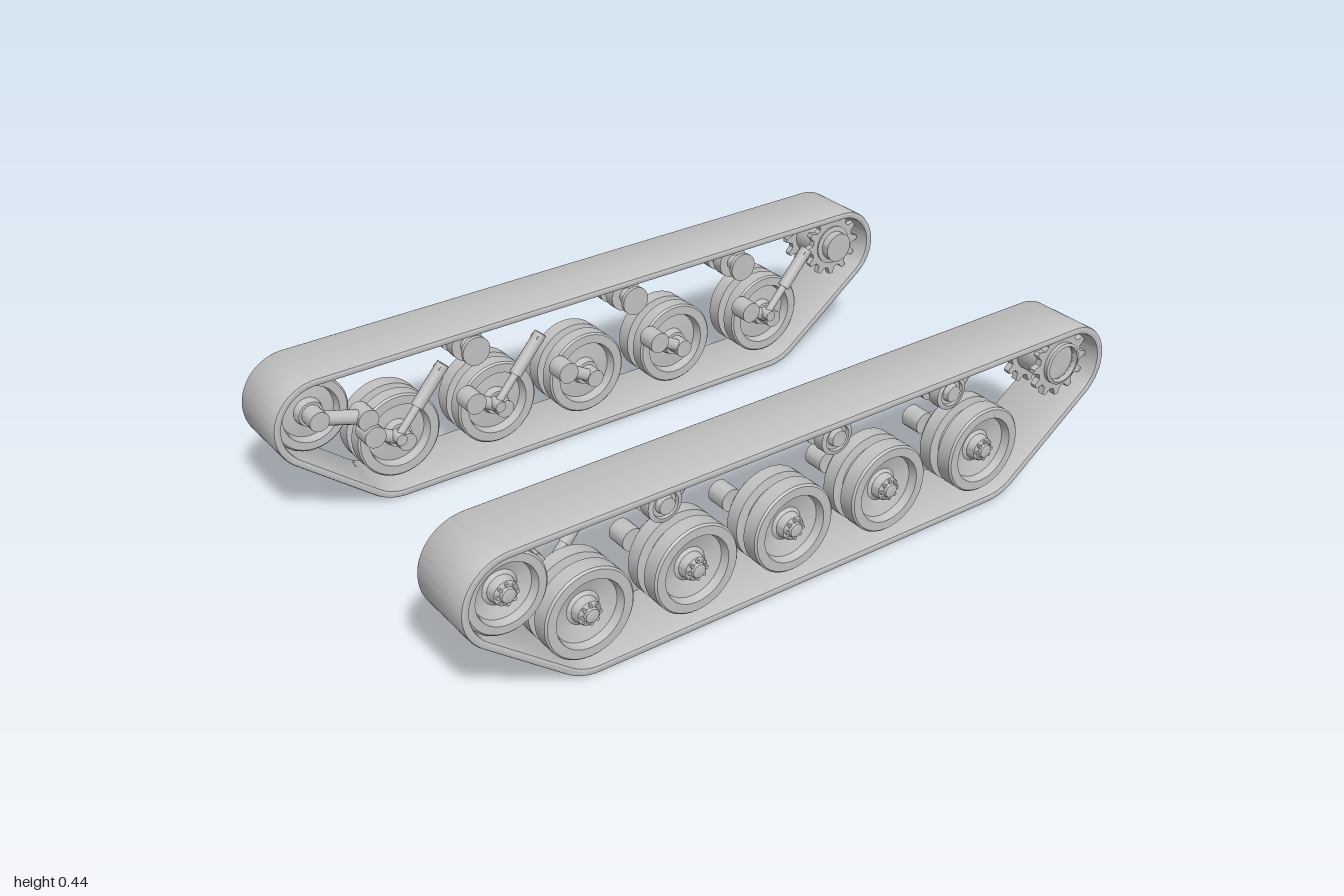
import * as THREE from 'three';
import { toCreasedNormals } from 'three/addons/utils/BufferGeometryUtils.js';

const steel = new THREE.MeshStandardMaterial({ color: 0xc2c2c2 });
steel.name = 'steel grey';

const V = (x, y, z) => new THREE.Vector3(x, y, z);

function add(parent, name, geometry, x = 0, y = 0, z = 0) {
  const mesh = new THREE.Mesh(geometry, steel);
  mesh.name = name;
  mesh.position.set(x, y, z);
  parent.add(mesh);
  return mesh;
}

// Solid of revolution about x; profile is [radius, distance outward]
function turned(profile, side, segments = 36) {
  const g = new THREE.LatheGeometry(profile.map(p => new THREE.Vector2(...p)), segments);
  g.rotateZ(-side * Math.PI / 2);
  return toCreasedNormals(g, 0.6);
}

// Straight cylinder along x between two distances from the middle
function pin(r, from, to, side, segments = 20) {
  return turned([[0, from], [r, from], [r, to], [0, to]], side, segments);
}

// Cylinder between two points
function rod(parent, name, a, b, r) {
  const d = b.clone().sub(a);
  const mesh = add(parent, name, new THREE.CylinderGeometry(r, r, d.length(), 16));
  mesh.position.copy(a).addScaledVector(d, 0.5);
  mesh.quaternion.setFromUnitVectors(V(0, 1, 0), d.normalize());
  return mesh;
}

// Extrude a (z, y) shape across x, centred on x = 0
function acrossX(shape, width, bevel) {
  const g = new THREE.ExtrudeGeometry(shape, {
    depth: width - 2 * bevel, curveSegments: 20, bevelEnabled: bevel > 0,
    bevelThickness: bevel, bevelSize: bevel, bevelOffset: -bevel, bevelSegments: 2,
  });
  g.translate(0, 0, bevel - width / 2);
  g.rotateY(-Math.PI / 2);
  return toCreasedNormals(g, 0.6);
}

// Belt wrapped round circles [z, y, radius], listed counter-clockwise
function wrap(circles, inset, Type) {
  const n = circles.length;
  const normals = circles.map((a, i) => {
    const b = circles[(i + 1) % n];
    const dz = b[0] - a[0], dy = b[1] - a[1];
    return Math.atan2(dy, dz) - Math.acos((a[2] - b[2]) / Math.hypot(dz, dy));
  });
  const path = new Type();
  circles.forEach((c, i) =>
    path.absarc(c[0], c[1], c[2] - inset, normals[(i + n - 1) % n], normals[i], false));
  path.closePath();
  return path;
}

const beltCircles = [
  [0.87, 0.302, 0.13], [-0.877, 0.321, 0.122], [-0.605, 0.152, 0.152], [0.645, 0.152, 0.152],
];

function wheelProfile(r) {
  return [
    [0, 0.43], [0.035, 0.43], [0.04, 0.452], [r * 0.7, 0.456], [r * 0.75, 0.43], [r - 0.005, 0.43],
    [r, 0.435], [r, 0.474], [r - 0.025, 0.478], [r - 0.025, 0.498], [r, 0.502], [r, 0.545],
    [r - 0.005, 0.55], [r * 0.76, 0.55], [r * 0.71, 0.528], [0.045, 0.516], [0.036, 0.522],
    [0.032, 0.545], [0.02, 0.55], [0.018, 0.558], [0, 0.558],
  ];
}

function boltedWheel(parent, name, r, y, z, side) {
  const wheel = new THREE.Group();
  wheel.name = name;
  wheel.position.set(0, y, z);
  parent.add(wheel);
  add(wheel, 'wheelDisc', turned(wheelProfile(r), side, 40));
  for (let i = 0; i < 8; i++) {
    const a = i * Math.PI / 4;
    add(wheel, 'hubBolt', pin(0.005, 0.53, 0.554, side, 6), 0, 0.025 * Math.sin(a), 0.025 * Math.cos(a));
  }
  return wheel;
}

function sprocketShape() {
  const teeth = 12, shape = new THREE.Shape();
  for (let i = 0; i < teeth; i++) {
    [[-0.32, 0.078], [-0.12, 0.098], [0.12, 0.098], [0.32, 0.078]].forEach(([t, r], k) => {
      const a = (i + t) / teeth * Math.PI * 2;
      shape[i + k ? 'lineTo' : 'moveTo'](r * Math.cos(a), r * Math.sin(a));
    });
  }
  shape.closePath();
  shape.holes.push(new THREE.Path().absarc(0, 0, 0.05, 0, Math.PI * 2, true));
  return shape;
}

function createTrack(side) {
  const track = new THREE.Group();
  track.name = side > 0 ? 'leftTrack' : 'rightTrack';
  const shift = side > 0 ? 0 : -0.03; // suspension is staggered between sides

  // Belt
  const loop = wrap(beltCircles, 0, THREE.Shape);
  loop.holes.push(wrap(beltCircles, 0.022, THREE.Path));
  add(track, 'trackBelt', acrossX(loop, 0.202, 0.007), side * 0.474);

  // Road wheels with trailing arms; some carry a damper
  [0.655, 0.35, 0.052, -0.26, -0.595].forEach((wz, i) => {
    const z = wz + shift, y = 0.155, pz = z + 0.1, py = 0.212;
    boltedWheel(track, 'roadWheel', 0.123, y, z, side);
    add(track, 'wheelAxle', pin(0.026, 0.385, 0.44, side), 0, y, z);
    add(track, 'armPivot', pin(0.031, 0.367, 0.425, side), 0, py, pz);
    rod(track, 'swingArm', V(side * 0.405, y, z), V(side * 0.405, py, pz), 0.018);
    if (i === 2 || i === 3) return;
    const foot = V(side * 0.386, 0.18, z + 0.027), head = V(side * 0.386, 0.355, z - 0.122);
    rod(track, 'damperRod', foot, head, 0.011);
    rod(track, 'damperBody', foot.clone().lerp(head, 0.42), head, 0.018);
    add(track, 'damperEye', pin(0.016, 0.364, 0.405, side), 0, foot.y, foot.z);
    add(track, 'damperMount', pin(0.013, 0.372, 0.402, side), 0, head.y - 0.012, head.z + 0.01);
  });

  // Return rollers
  [0.43, -0.09, -0.475].forEach(rz => {
    const roller = turned([
      [0, 0.385], [0.042, 0.385], [0.042, 0.397], [0.022, 0.4], [0.022, 0.435], [0.048, 0.435],
      [0.048, 0.468], [0.032, 0.47], [0.032, 0.496], [0.048, 0.498], [0.048, 0.53], [0.036, 0.533],
      [0.034, 0.525], [0.025, 0.525], [0.022, 0.54], [0, 0.54],
    ], side, 28);
    add(track, 'returnRoller', roller, 0, 0.36, rz + shift);
  });

  // Front idler on its crank
  boltedWheel(track, 'idlerWheel', 0.107, 0.302, 0.87, side);
  add(track, 'idlerAxle', pin(0.028, 0.38, 0.44, side), 0, 0.302, 0.87);
  rod(track, 'idlerCrank', V(side * 0.405, 0.302, 0.87), V(side * 0.405, 0.262, 0.735), 0.02);
  add(track, 'crankPivot', pin(0.03, 0.378, 0.44, side), 0, 0.262, 0.735);

  // Rear drive sprocket: two toothed rings on a drum
  const toothed = acrossX(sprocketShape(), 0.018, 0);
  [0.425, 0.525].forEach(x => add(track, 'sprocketRing', toothed, side * x, 0.325, -0.875));
  add(track, 'sprocketDrum', turned([
    [0, 0.385], [0.045, 0.385], [0.045, 0.41], [0.06, 0.412], [0.06, 0.545], [0.052, 0.548],
    [0.05, 0.53], [0, 0.53],
  ], side), 0, 0.325, -0.875);

  return track;
}

export function createModel() {
  const model = new THREE.Group();
  model.name = 'runningGear';
  model.add(createTrack(1), createTrack(-1));
  return model;
}
